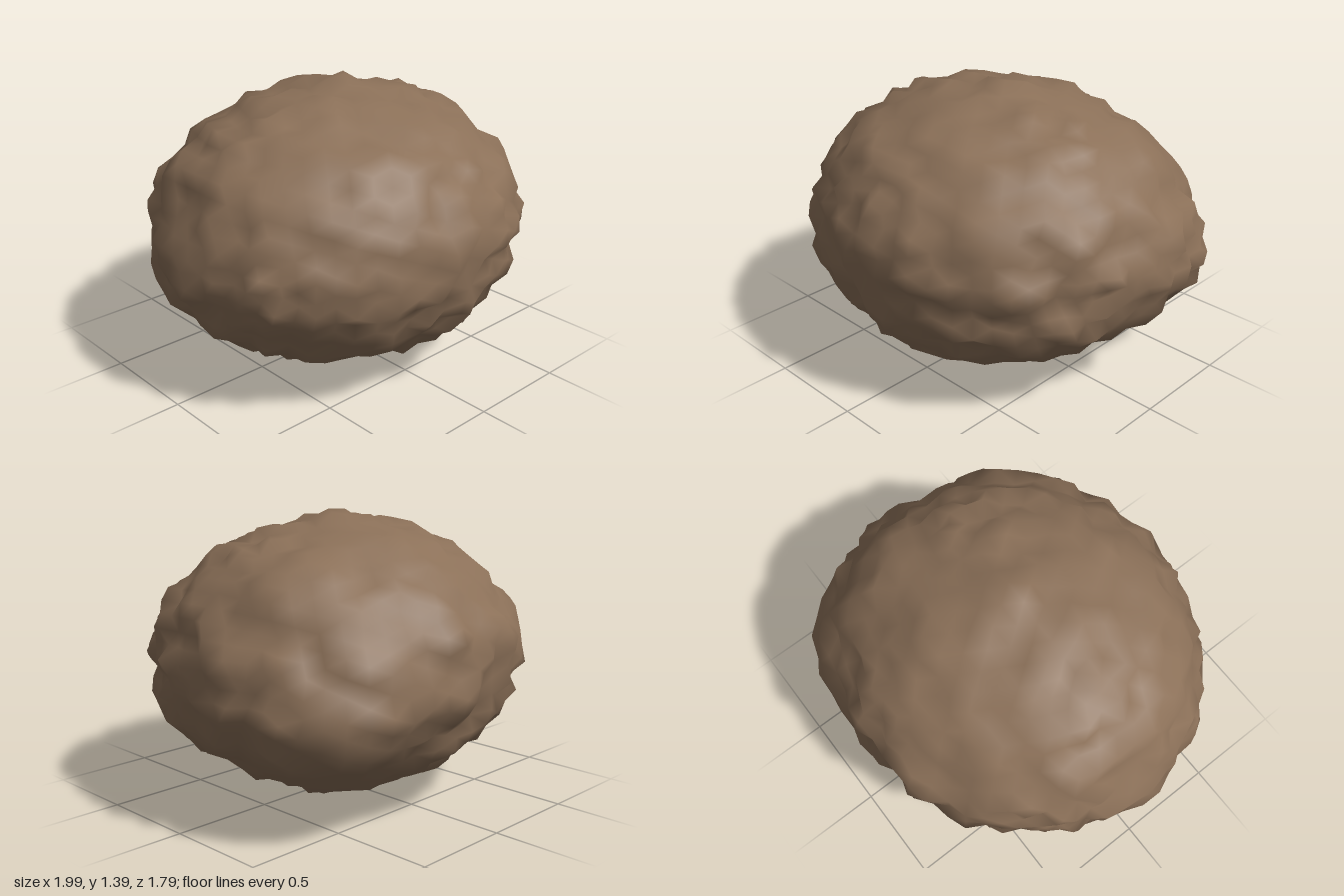
import * as THREE from 'three';
import { mergeVertices } from 'three/addons/utils/BufferGeometryUtils.js';

// Small seeded random generator
function seeded(seed) {
  return () => {
    seed = (seed * 1664525 + 1013904223) >>> 0;
    return seed / 4294967296;
  };
}

// Broad swellings and hollows: direction, height (share of the radius), spread
const LUMPS = [
  [0.72, -0.3, -0.72, 0.175, 0.43], // heavy shoulder at the back left
  [0.45, 0.1, -0.9, 0.02, 0.3],
  [0.6, 0.6, -0.6, 0.02, 0.3],
  [-0.4, 0.1, -0.9, 0.035, 0.28],
  [-0.8, -0.2, 0.57, 0.04, 0.35],
  [-0.35, 0, 0.93, 0.025, 0.25],
  [-0.65, 0.72, 0.05, 0.03, 0.35],
  [-0.85, -0.45, 0, 0.025, 0.3],
  [0, -0.6, 0.8, 0.025, 0.3],
  [-0.1, 0.5, 0.85, 0.03, 0.38],
  [0, 0.9, -0.42, 0.02, 0.25],
  [0, 0.4, -0.92, 0.03, 0.28],
  [0.88, 0, 0.42, -0.03, 0.3],
  [0.85, 0.42, 0.1, -0.02, 0.25],
  [0.55, -0.8, 0.1, -0.045, 0.25],
  // small tips at the outermost points
  [0.97, 0.04, -0.25, 0.035, 0.15],
  [-1, -0.08, 0.07, 0.035, 0.15],
  [0.1, 0, -1, 0.02, 0.15],
  [-0.12, 0, 1, 0.025, 0.15],
  [0.06, 1, 0, 0.035, 0.15],
  [-0.05, -1, 0, 0.03, 0.2],
].map(([x, y, z, height, spread]) => ({
  direction: new THREE.Vector3(x, y, z).normalize(), height, spread,
}));

function lumpHeight(v) {
  return LUMPS.reduce((sum, { direction, height, spread }) =>
    sum + height * Math.exp(-2 * (1 - v.dot(direction)) / (spread * spread)), 0);
}

// Ball with shared vertices, pushed in and out along its radius
function roughBoulder(radii, detail, roughness) {
  const ball = new THREE.IcosahedronGeometry(1, detail);
  ball.deleteAttribute('uv');
  ball.deleteAttribute('normal');
  const geometry = mergeVertices(ball, 1e-4);
  const random = seeded(41);
  const position = geometry.attributes.position;
  const v = new THREE.Vector3();
  for (let i = 0; i < position.count; i++) {
    v.fromBufferAttribute(position, i);
    const radius = 1 + lumpHeight(v) + (random() - 0.5) * roughness;
    v.multiplyScalar(radius).multiply(radii);
    position.setXYZ(i, v.x, v.y, v.z);
  }
  // Stand it centred on the ground
  geometry.center();
  geometry.computeBoundingBox();
  geometry.translate(0, -geometry.boundingBox.min.y, 0);
  geometry.computeVertexNormals();
  return geometry;
}

export function createModel() {
  const group = new THREE.Group();
  group.name = 'rock';

  const brownStone = new THREE.MeshStandardMaterial({ color: 0x8b7058 });
  brownStone.name = 'brown stone';

  const radii = new THREE.Vector3(0.945, 0.655, 0.855);
  const boulder = new THREE.Mesh(roughBoulder(radii, 10, 0.085), brownStone);
  boulder.name = 'boulder';
  group.add(boulder);
  return group;
}
